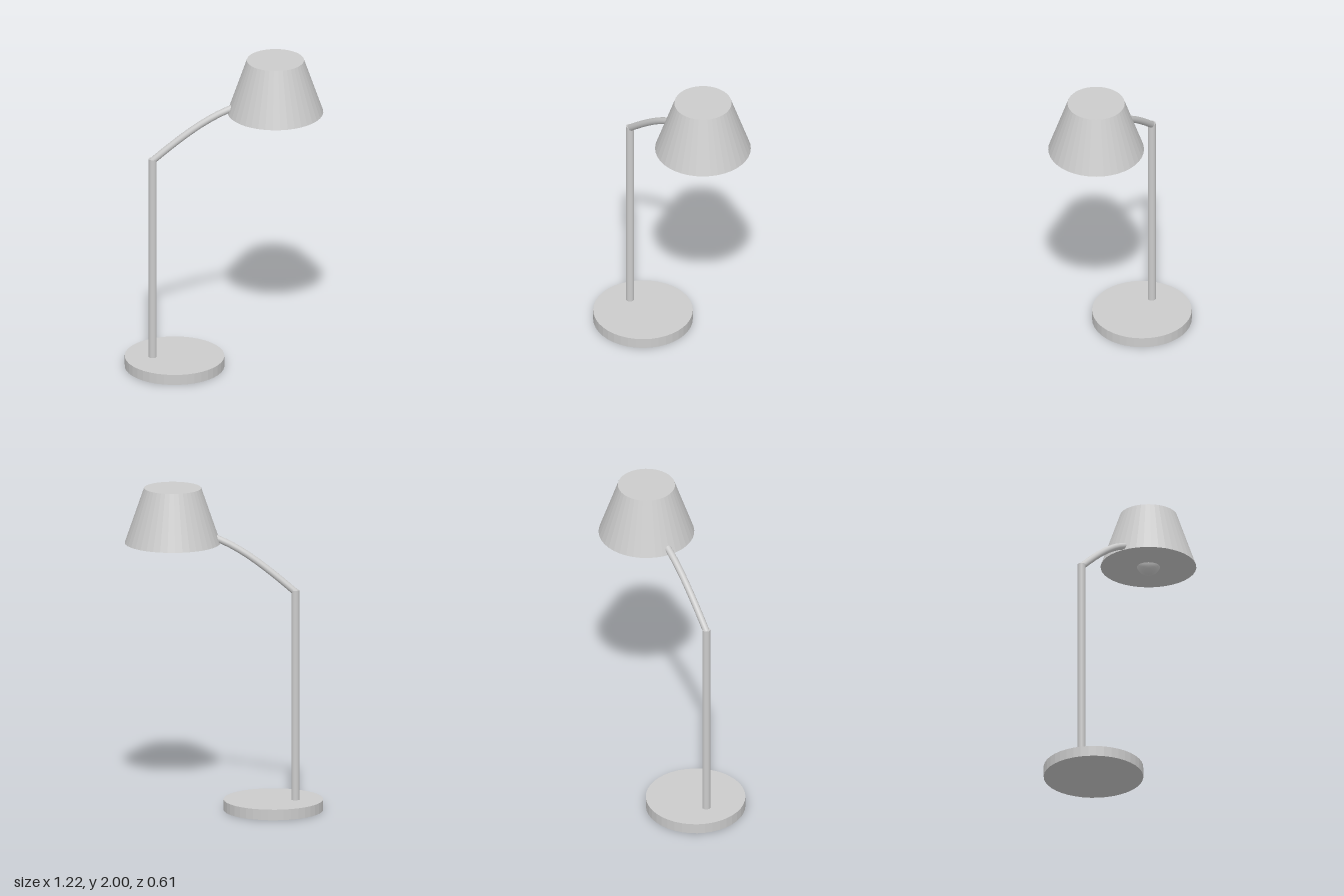
import * as THREE from 'three';

export function createModel() {
  const lamp = new THREE.Group();
  lamp.name = 'deskLamp';
  const flat = new THREE.MeshStandardMaterial({ color: 0xcccccc, flatShading: true });
  const smooth = new THREE.MeshStandardMaterial({ color: 0xcccccc });

  const add = (name, geometry, material, x = 0, y = 0) => {
    const mesh = new THREE.Mesh(geometry, material);
    mesh.name = name;
    mesh.position.set(x, y, 0);
    lamp.add(mesh);
  };
  // Upright round part between two heights
  const round = (name, x, y0, y1, rBottom, rTop, sides, material) =>
    add(name, new THREE.CylinderGeometry(rTop, rBottom, y1 - y0, sides), material, x, (y0 + y1) / 2);

  // Foot and upright post
  round('base', -0.305, 0, 0.066, 0.305, 0.305, 40, flat);
  round('post', -0.44, 0.03, 1.378, 0.025, 0.025, 20, smooth);

  // Bent arm, ending inside the shade
  const path = new THREE.CatmullRomCurve3([
    [-0.44, 1.366], [-0.345, 1.445], [-0.24, 1.527], [-0.13, 1.603], [-0.02, 1.664], [0.08, 1.705],
  ].map(([x, y]) => new THREE.Vector3(x, y, 0)));
  add('arm', new THREE.TubeGeometry(path, 10, 0.021, 16), smooth);
  // Cap at the arm's lower end
  add('armJoint', new THREE.SphereGeometry(0.021, 16, 10), smooth, -0.44, 1.366);

  // Closed conical shade with the bulb peeking out below
  round('shade', 0.315, 1.657, 2, 0.293, 0.175, 40, flat);
  add('bulb', new THREE.SphereGeometry(0.075, 32, 20), smooth, 0.315, 1.681);

  return lamp;
}
